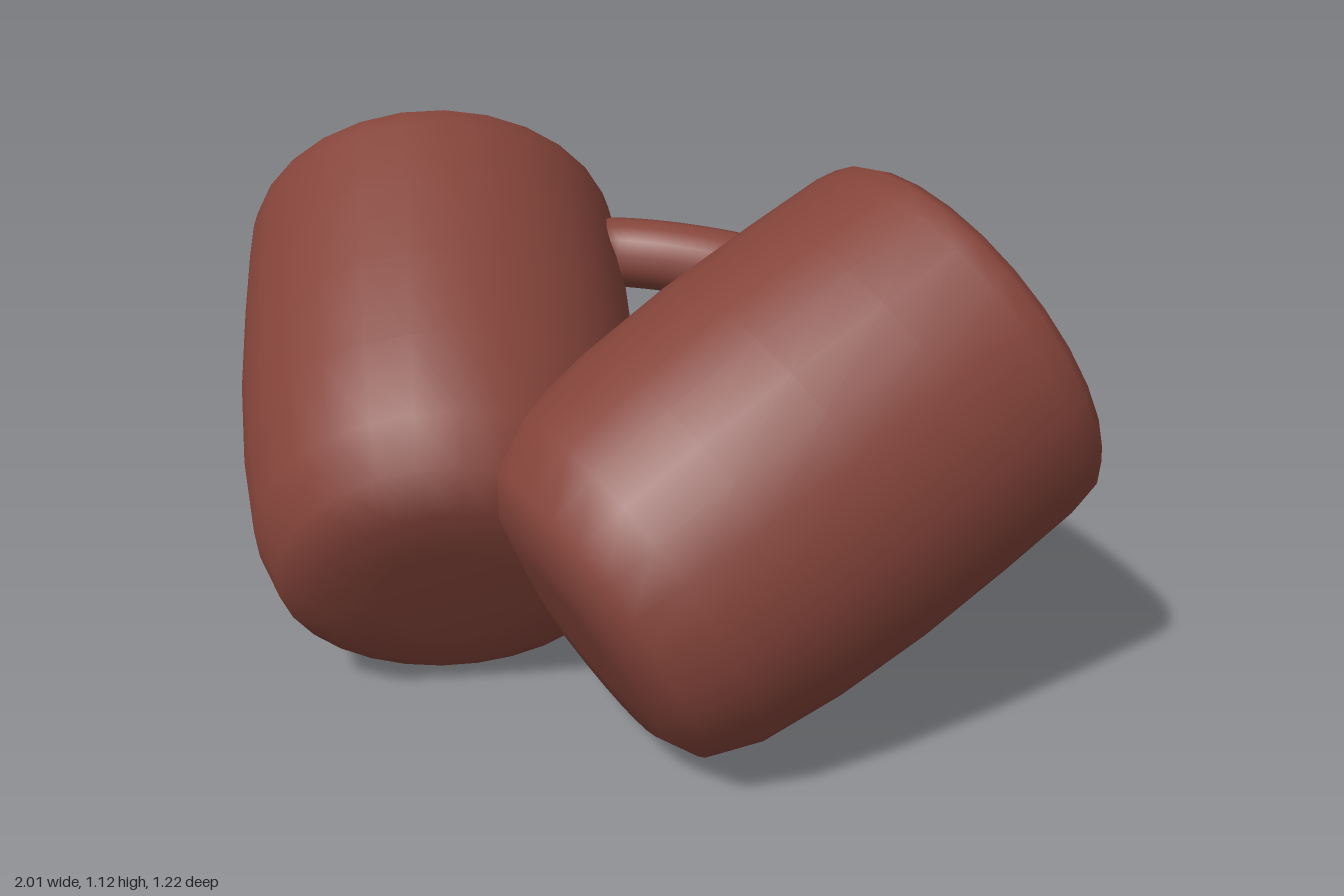
import * as THREE from 'three';

const brown = new THREE.MeshStandardMaterial({ color: 0x84443a });
const aqua = new THREE.MeshStandardMaterial({ color: 0x70e0dc });

function lathe(name, profile, material) {
  const points = profile.map(([r, y]) => new THREE.Vector2(r, y));
  const mesh = new THREE.Mesh(new THREE.LatheGeometry(points, 28), material);
  mesh.name = name;
  return mesh;
}

// One tilted barrel with its lens; local y = 0 is the rim, side is +1 or -1
function makeBarrel(side) {
  const barrel = new THREE.Group();
  barrel.name = side > 0 ? 'leftBarrel' : 'rightBarrel';

  // Closed rounded base, slightly bulging wall, rolled rim and inner lip
  barrel.add(lathe('barrelBody', [
    [0, -0.97], [0.15, -0.97], [0.27, -0.965], [0.355, -0.92], [0.4, -0.81],
    [0.425, -0.63], [0.437, -0.42], [0.436, -0.2], [0.431, -0.02],
    [0.423, 0.025], [0.4, 0.05], [0.37, 0.056], [0.34, 0.045],
    [0.315, 0.015], [0.305, -0.03], [0.305, -0.08],
  ], brown));

  // Shallow domed lens with a thin raised edge
  const dome = [[0.308, 0.012], [0.29, -0.01]].reverse();
  const lens = [];
  for (let i = 0; i <= 8; i++) {
    const r = 0.29 * (1 - i / 8);
    lens.push([r, -0.01 + 0.055 * (1 - (r / 0.29) ** 2)]);
  }
  barrel.add(lathe('lens', lens, aqua));
  barrel.add(lathe('lensEdge', [dome[1], dome[0]], aqua));

  const axis = new THREE.Vector3(0.5 * side, 0.46, -0.735).normalize();
  barrel.quaternion.setFromUnitVectors(new THREE.Vector3(0, 1, 0), axis);
  barrel.position.set(0.627 * side, 0.735, -0.31);
  return barrel;
}

export function createModel() {
  const model = new THREE.Group();
  model.name = 'twinBarrels';
  for (const side of [1, -1]) model.add(makeBarrel(side));

  // Curved bridge joining the barrels at the back
  const path = new THREE.CatmullRomCurve3([
    [-0.28, -0.34], [-0.2, -0.41], [-0.1, -0.438], [0, -0.445],
    [0.1, -0.438], [0.2, -0.41], [0.28, -0.34],
  ].map(([x, z]) => new THREE.Vector3(x, 0.775, z)));
  const bridge = new THREE.Mesh(new THREE.TubeGeometry(path, 20, 0.08, 14), brown);
  bridge.name = 'bridge';
  model.add(bridge);
  return model;
}
